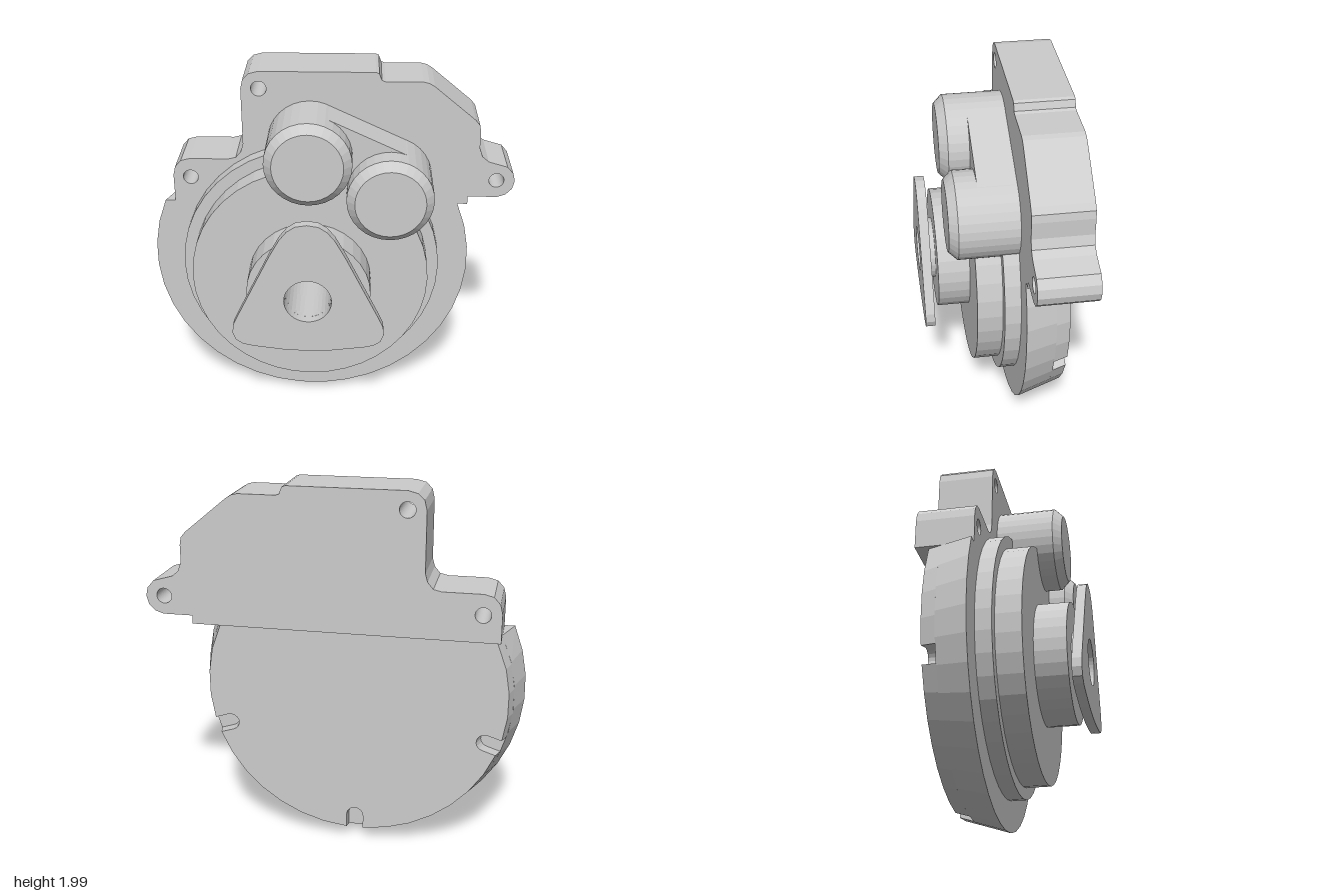
import * as THREE from 'three';

const CX = -0.115, CY = 0.89; // main axis of the round parts

export function createModel() {
  const model = new THREE.Group();
  const material = new THREE.MeshStandardMaterial({ color: 0xcccccc, flatShading: true });

  const add = (name, geometry) => {
    const mesh = new THREE.Mesh(geometry, material);
    mesh.name = name;
    model.add(mesh);
    return mesh;
  };
  const toShape = (pts) => new THREE.Shape(pts.map(([x, y]) => new THREE.Vector2(x, y)));
  const extrude = (shape, z0, z1, curveSegments = 20) => {
    const g = new THREE.ExtrudeGeometry(shape, { depth: z1 - z0, bevelEnabled: false, curveSegments });
    return g.translate(0, 0, z0);
  };
  const punch = (shape, x, y, r) => {
    shape.holes.push(new THREE.Path().absarc(x, y, r, 0, Math.PI * 2, true));
    return shape;
  };

  // Mounting plate with three screw holes
  const plate = toShape([
    [-0.87, 1.245], [0.75, 1.245], [0.75, 1.29], [0.91, 1.29], [0.955, 1.305], [0.988, 1.34],
    [1, 1.385], [0.99, 1.43], [0.955, 1.47], [0.85, 1.5], [0.815, 1.53], [0.797, 1.58],
    [0.797, 1.67], [0.79, 1.71], [0.765, 1.74], [0.54, 1.925], [0.51, 1.943], [0.48, 1.95],
    [0.28, 1.95], [0.262, 1.957], [0.255, 1.975], [0.248, 1.993], [0.23, 2],
    [-0.385, 2], [-0.435, 1.987], [-0.468, 1.955], [-0.48, 1.905], [-0.48, 1.59],
    [-0.492, 1.545], [-0.522, 1.51], [-0.565, 1.5], [-0.775, 1.5], [-0.825, 1.487],
    [-0.858, 1.45], [-0.87, 1.4],
  ]);
  [[-0.775, 1.39], [0.9, 1.39], [-0.385, 1.905]].forEach(([x, y]) => punch(plate, x, y, 0.041));
  add('mountingPlate', extrude(plate, -0.39, -0.085));

  // Tapered disc, cut flat along the plate; the rear layer has three rim slots
  const R = 0.885, chord = 0.355, rearR = 0.81;
  const discOutline = (slotAngles) => {
    const cut = Math.asin(chord / R), w = 0.05, slotR = 0.8;
    const half = Math.asin(w / R);
    const pts = [];
    const arc = (a, b) => {
      const n = Math.max(2, Math.round((b - a) / 0.16));
      for (let i = 0; i <= n; i++) {
        const t = a + ((b - a) * i) / n;
        pts.push([R * Math.cos(t), R * Math.sin(t)]);
      }
    };
    let from = Math.PI - cut;
    for (const a of slotAngles) {
      arc(from, a - half);
      for (let i = 0; i <= 8; i++) {
        const p = -Math.PI / 2 + (Math.PI * i) / 8;
        const u = slotR - w * Math.cos(p), t = w * Math.sin(p);
        pts.push([u * Math.cos(a) - t * Math.sin(a), u * Math.sin(a) + t * Math.cos(a)]);
      }
      from = a + half;
    }
    arc(from, Math.PI * 2 + cut);
    return toShape(pts);
  };
  const taper = (g) => {
    const p = g.attributes.position;
    for (let i = 0; i < p.count; i++) {
      const x = p.getX(i), y = p.getY(i), z = p.getZ(i);
      const k = 1 + (rearR / R - 1) * ((-0.085 - z) / 0.24);
      if (y > chord - 0.001) p.setX(i, Math.sign(x) * Math.sqrt((R * k) ** 2 - chord ** 2));
      else p.setXY(i, x * k, y * k);
    }
    g.computeVertexNormals();
    return g.translate(CX, CY, 0);
  };
  const slots = [198, 270, 342].map(THREE.MathUtils.degToRad);
  add('discFront', taper(extrude(discOutline([]), -0.25, -0.085)));
  add('discRear', taper(extrude(discOutline(slots), -0.325, -0.25)));

  // Stepped rings and hub, all bored through for the shaft
  const bore = 0.127;
  [
    ['outerRing', 0.715, -0.085, 0, 20],
    ['innerRing', 0.65, 0, 0.135, 20],
    ['hub', 0.335, 0.135, 0.308, 16],
    ['neck', 0.17, 0.308, 0.34, 12],
  ].forEach(([name, r, z0, z1, seg]) => {
    const s = new THREE.Shape().absarc(CX, CY, r, 0, Math.PI * 2, false);
    add(name, extrude(punch(s, CX, CY, bore), z0, z1, seg));
  });

  // Rounded three-cornered cam plate, mirrored about its axis
  const side = [
    [0.06, 0.45], [0.105, 0.42], [0.145, 0.37], [0.2, 0.27], [0.38, -0.1],
    [0.405, -0.155], [0.41, -0.205], [0.392, -0.25], [0.355, -0.275], [0.3, -0.288], [0.13, -0.31],
  ];
  const cam = toShape([
    [0, 0.46], ...side.map(([x, y]) => [-x, y]), [0, -0.316], ...side.slice().reverse(),
  ].map(([x, y]) => [CX + x, CY + y]));
  add('camPlate', extrude(punch(cam, CX, CY, bore), 0.34, 0.392));

  // Two chamfered cylinders
  const A = new THREE.Vector2(-0.115, 1.61), B = new THREE.Vector2(0.315, 1.41), r = 0.23;
  const profile = [[0, -0.085], [r, -0.085], [r, 0.225], [0.186, 0.27], [0, 0.27]]
    .map(([x, y]) => new THREE.Vector2(x, y));
  [['upperCylinder', A], ['lowerCylinder', B]].forEach(([name, c]) => {
    const g = new THREE.LatheGeometry(profile, 32).rotateX(Math.PI / 2);
    add(name, g.translate(c.x, c.y, 0));
  });

  // Web joining the cylinders along their common tangents
  const dir = B.clone().sub(A).angle();
  const web = new THREE.Shape();
  web.absarc(A.x, A.y, r - 0.001, dir + Math.PI / 2, dir + Math.PI * 1.5, false);
  web.absarc(B.x, B.y, r - 0.001, dir - Math.PI / 2, dir + Math.PI / 2, false);
  add('cylinderWeb', extrude(web, -0.085, 0.115, 16));

  return model;
}
